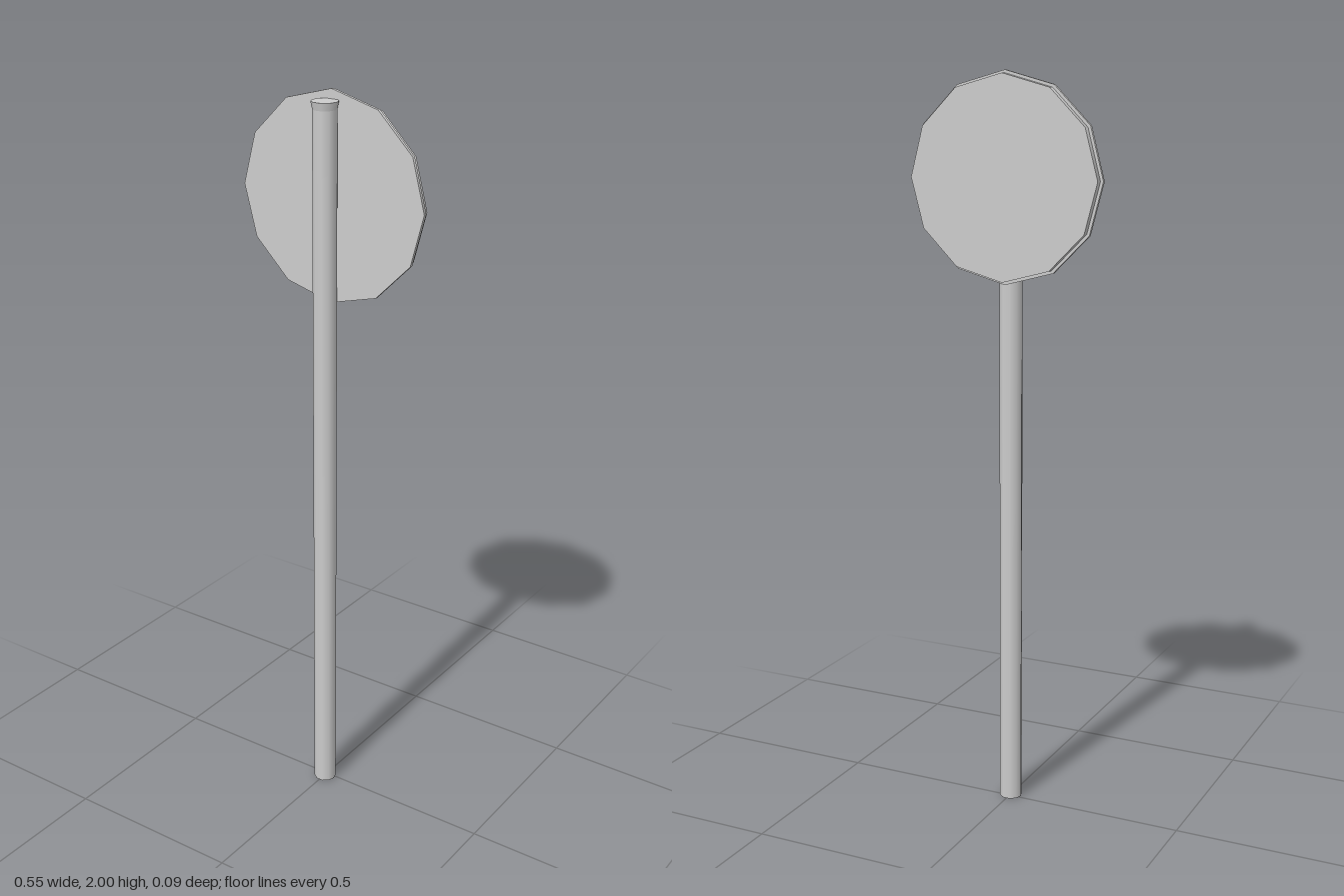
import * as THREE from 'three';

export function createModel() {
  const model = new THREE.Group();
  const grey = new THREE.MeshStandardMaterial({ color: 0xcccccc });
  grey.name = 'light grey metal';

  const add = (name, geometry, x, y, z) => {
    const mesh = new THREE.Mesh(geometry, grey);
    mesh.name = name;
    mesh.position.set(x, y, z);
    model.add(mesh);
  };

  // Ten-sided post with corners pointing left and right
  const post = (top, bottom, height, open) =>
    new THREE.CylinderGeometry(top, bottom, height, 10, 1, open, Math.PI / 2);
  const poleZ = 0.009;
  add('pole', post(0.031, 0.031, 1.955, false), 0, 0.9775, poleZ);
  // Slightly flared cap on the pole
  add('poleCap', post(0.035, 0.031, 0.02, false), 0, 1.965, poleZ);

  // Twelve-sided sign plates, facing along z with a corner at the top
  const disc = (radius, depth) =>
    new THREE.CylinderGeometry(radius, radius, depth, 12).rotateX(Math.PI / 2);
  const signY = 1.727;
  add('signRim', disc(0.273, 0.009), 0, signY, -0.0235);
  add('signBacking', disc(0.265, 0.018), 0, signY, -0.037);

  return model;
}
